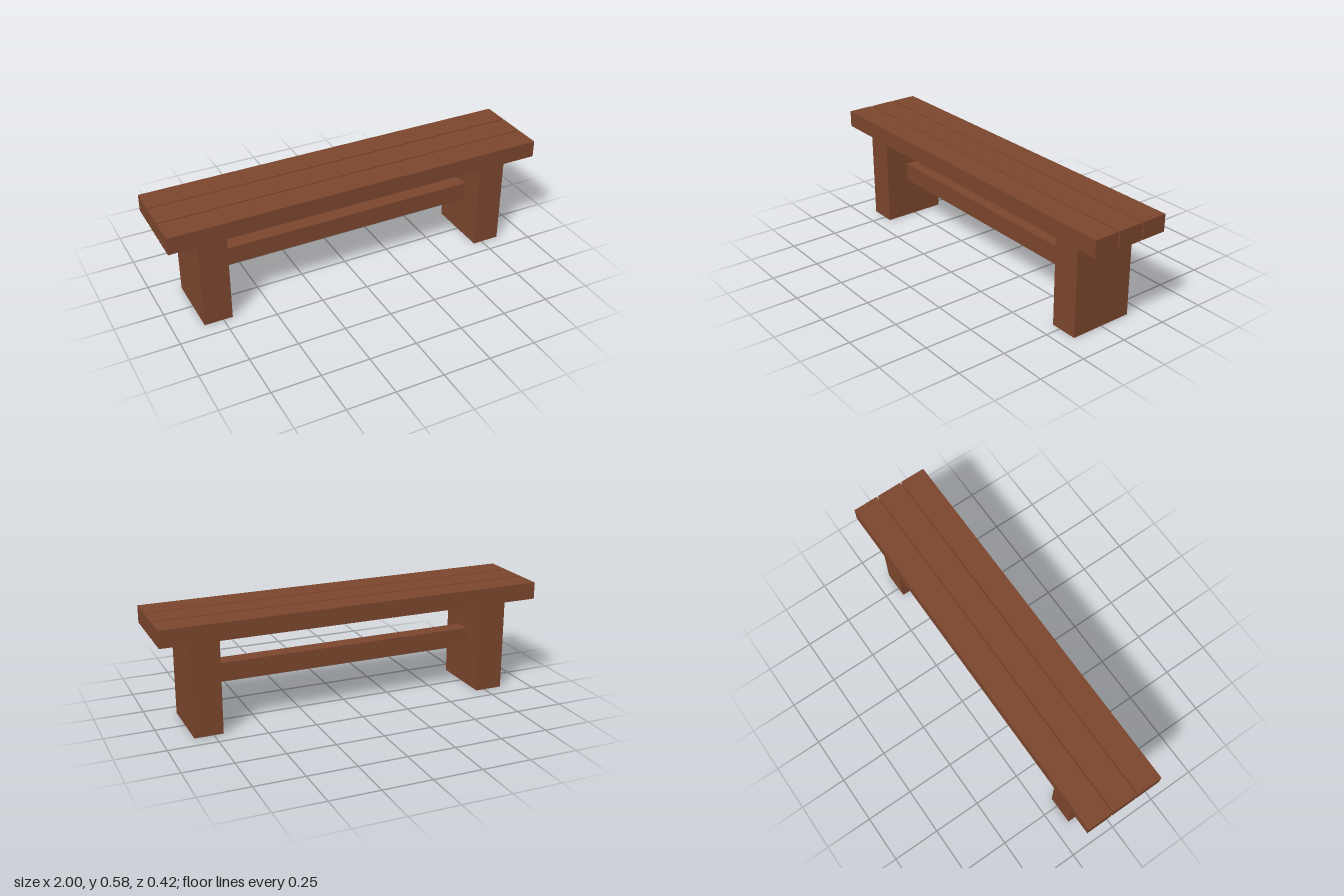
import * as THREE from 'three';

// Box without its underside, placed by its min and max corners
function openBox(x0, x1, y0, y1, z0, z1) {
  const g = new THREE.BoxGeometry(x1 - x0, y1 - y0, z1 - z0);
  const index = Array.from(g.index.array);
  index.splice(18, 6); // drop the -y face
  g.setIndex(index);
  g.clearGroups();
  g.translate((x0 + x1) / 2, (y0 + y1) / 2, (z0 + z1) / 2);
  return g;
}

export function createModel() {
  const group = new THREE.Group();
  const wood = new THREE.MeshStandardMaterial({ color: 0x7b462d, side: THREE.DoubleSide });
  wood.name = 'brown wood';

  const add = (name, geometry) => {
    const mesh = new THREE.Mesh(geometry, wood);
    mesh.name = name;
    group.add(mesh);
    return mesh;
  };

  // Three seat planks with narrow gaps
  ['backPlank', 'middlePlank', 'frontPlank'].forEach((name, i) => {
    const z = (i - 1) * 0.143;
    add(name, openBox(-1, 1, 0.489, 0.577, z - 0.0675, z + 0.0675));
  });

  // Slab legs, each with two flush bolt plugs on the front edge
  for (const [side, s] of [['left', 1], ['right', -1]]) {
    const x = s * 0.775;
    add(side + 'Leg', openBox(x - 0.073, x + 0.073, 0, 0.489, -0.169, 0.169));
    for (const y of [0.16, 0.38]) {
      add(side + 'BoltPlug', new THREE.CircleGeometry(0.022, 16)).position.set(x, y, 0.1695);
    }
  }

  // Stretcher between the legs
  add('stretcher', openBox(-0.702, 0.702, 0.217, 0.314, -0.041, 0.041));

  return group;
}
